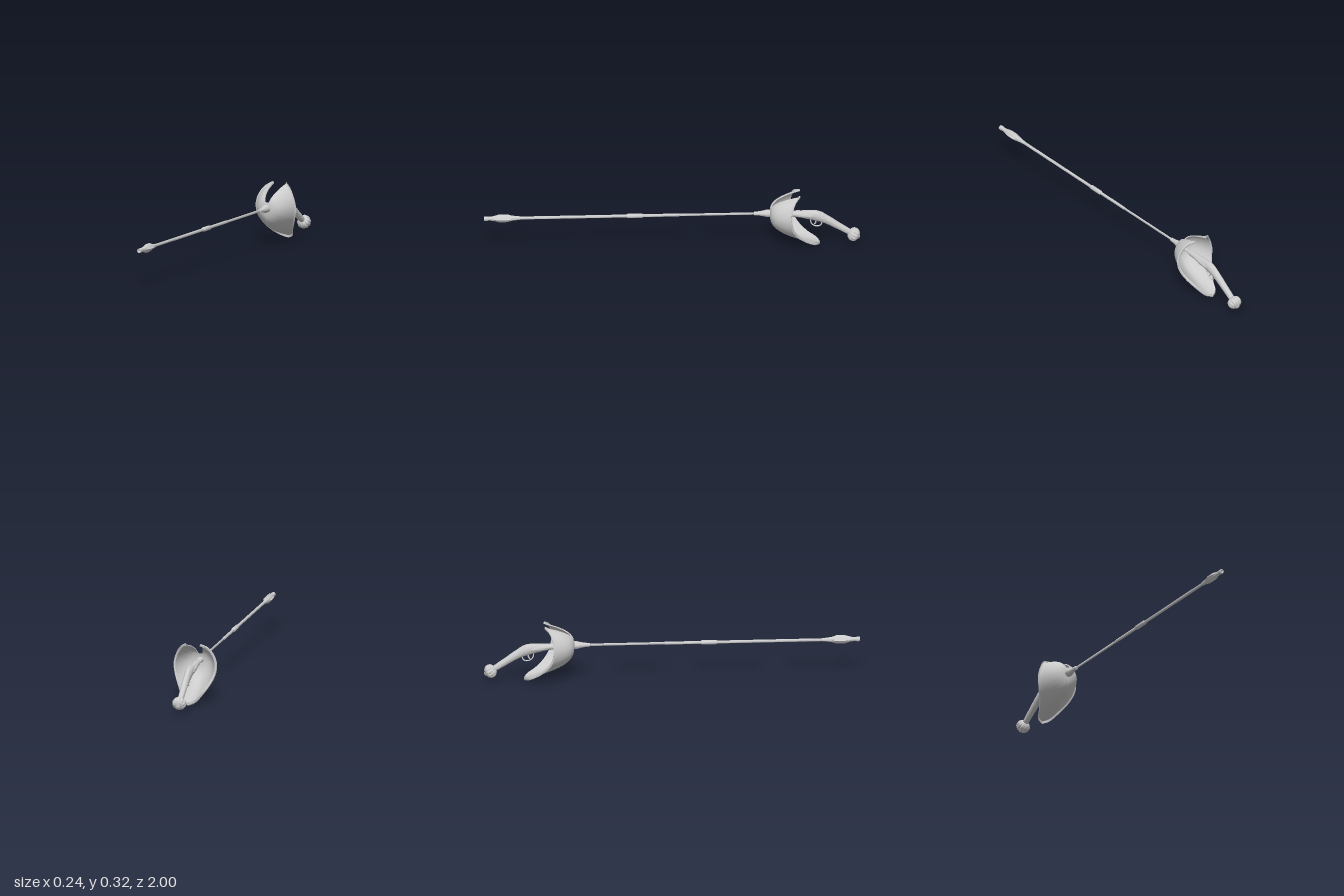
import * as THREE from 'three';
import { toCreasedNormals } from 'three/addons/utils/BufferGeometryUtils.js';

const AXIS_Y = 0.195;
const V = (x, y, z) => new THREE.Vector3(x, y, z);
const material = new THREE.MeshStandardMaterial({ color: 0xcccccc, side: THREE.DoubleSide });

function part(name, geometry, crease = 0.6) {
  const mesh = new THREE.Mesh(toCreasedNormals(geometry, crease), material);
  mesh.name = name;
  return mesh;
}

// Surface through columns of points that all have the same length.
function surface(columns) {
  const n = columns[0].length, index = [];
  for (let i = 0; i < columns.length - 1; i++) {
    for (let j = 0; j < n - 1; j++) {
      const a = i * n + j, b = a + n;
      index.push(a, b, a + 1, b, b + 1, a + 1);
    }
  }
  const geometry = new THREE.BufferGeometry().setFromPoints(columns.flat());
  geometry.setIndex(index);
  geometry.computeVertexNormals();
  return geometry;
}

// Turned part along the blade axis, profile given as [z, radius].
function turned(name, profile, sides = 20) {
  const g = new THREE.LatheGeometry(profile.map(([z, r]) => new THREE.Vector2(r, z)), sides);
  g.rotateX(Math.PI / 2);
  g.translate(0, AXIS_Y, 0);
  return part(name, g);
}

// Oval loft in the x = 0 plane, stations [z, y, halfWidth, halfHeight].
function loft(name, stations, steps, sides) {
  const path = new THREE.CatmullRomCurve3(stations.map(([z, y]) => V(0, y, z)));
  const size = new THREE.CatmullRomCurve3(stations.map(([, , w, h]) => V(w, h, 0)));
  const columns = [];
  for (let i = 0; i <= sides; i++) {
    const a = -i / sides * Math.PI * 2, column = [];
    for (let j = 0; j <= steps; j++) {
      const c = path.getPoint(j / steps), s = size.getPoint(j / steps), t = path.getTangent(j / steps);
      const h = Math.sin(a) * s.y;
      column.push(V(Math.cos(a) * s.x, c.y - t.z * h, c.z + t.y * h));
    }
    columns.push([path.getPoint(0), ...column, path.getPoint(1)]);
  }
  return part(name, surface(columns));
}

// Domed shield with a flat lip and a wedge notch at the top.
function handGuard() {
  const front = -0.52, lip = 13 / 14, notch = 0.27, N = 14;
  const edge = new THREE.CatmullRomCurve3([
    V(0.04, 0.318, -0.675), V(0.075, 0.295, -0.65), V(0.105, 0.25, -0.632),
    V(0.12, 0.195, -0.63), V(0.112, 0.14, -0.638), V(0.09, 0.09, -0.665),
    V(0.06, 0.045, -0.71), V(0.033, 0.013, -0.762), V(0, 0, -0.78),
  ]).getPoints(32);
  const mirror = (p) => V(-p.x, p.y, p.z);
  const column = (rim, reach) => {
    const outer = [], inner = [];
    for (let k = 0; k <= N; k++) {
      const t = reach * k / N;
      const z = front + (rim.z - front) * Math.min(1, (t / lip) ** 3);
      const at = (s, dz) => V(rim.x * s, AXIS_Y + (rim.y - AXIS_Y) * s, z + dz);
      outer.push(at(t, 0));
      inner.unshift(at(t * 0.97, -0.007));
    }
    return [...outer, ...inner];
  };
  const tip = edge[0], columns = [];
  const cut = Array.from({ length: 11 }, (_, i) => 1 - (1 - notch) * i / 10);
  for (const reach of [...cut].reverse()) columns.push(column(tip, reach));
  for (const p of edge.slice(1)) columns.push(column(p, 1));
  for (const p of edge.slice(0, -1).reverse()) columns.push(column(mirror(p), 1));
  for (const reach of cut.slice(1)) columns.push(column(mirror(tip), reach));
  for (let i = 1; i <= 4; i++) columns.push(column(mirror(tip).lerp(tip, i / 4), notch));
  return part('handGuard', surface(columns));
}

// Ball with rounded ribs, its axis along the end of the grip.
function pommel() {
  const g = new THREE.SphereGeometry(1, 80, 20);
  const pos = g.attributes.position;
  for (let i = 0; i < pos.count; i++) {
    const x = pos.getX(i), z = pos.getZ(i);
    const k = 0.86 + 0.14 * Math.sqrt(Math.abs(Math.sin(Math.atan2(z, x) * 5)));
    pos.setXYZ(i, x * k * 0.038, pos.getY(i) * 0.032, z * k * 0.038);
  }
  const group = new THREE.Group();
  group.name = 'pommel';
  const button = new THREE.SphereGeometry(0.012, 16, 10);
  button.scale(1, 0.6, 1);
  button.translate(0, 0.03, 0);
  group.add(part('pommelBall', g), part('pommelButton', button));
  group.quaternion.setFromUnitVectors(V(0, 1, 0), V(0, -0.5, -0.866).normalize());
  group.position.set(0, 0.058, -0.966);
  return group;
}

export function createModel() {
  const model = new THREE.Group();

  // Blade: slim rear rod, thicker front rod, middle sleeve
  const rear = turned('rearBlade', [[-0.46, 0.007], [-0.04, 0.007]], 12);
  rear.scale.x = 0.65;
  model.add(
    rear,
    turned('frontBlade', [[-0.045, 0], [-0.04, 0.008], [0.82, 0.008]], 12),
    turned('sleeve', [[0.15, 0.007], [0.16, 0.012], [0.235, 0.012], [0.245, 0.007]], 12),
  );

  // Tip: round spindle crossed by four ridges, with a hollow end
  model.add(
    turned('tipBody', [[0.79, 0.007], [0.815, 0.01], [0.85, 0.014], [0.88, 0.019], [0.915, 0.019],
      [0.95, 0.013], [0.975, 0.01], [0.985, 0.013], [1, 0.012], [1, 0.007], [0.985, 0]]),
    turned('tipRidges', [[0.835, 0.01], [0.875, 0.024], [0.92, 0.024], [0.965, 0.01]], 4),
  );

  // Collar in front of the guard
  model.add(turned('collar', [[-0.435, 0.006], [-0.437, 0.01], [-0.465, 0.012], [-0.49, 0.017],
    [-0.505, 0.021], [-0.53, 0.021]].reverse()));
  model.add(handGuard());

  // Curved grip with its swollen middle
  model.add(loft('grip', [
    [-0.52, 0.195, 0.018, 0.016], [-0.6, 0.193, 0.018, 0.016], [-0.67, 0.188, 0.019, 0.018],
    [-0.72, 0.183, 0.02, 0.025], [-0.77, 0.175, 0.02, 0.03], [-0.82, 0.152, 0.018, 0.024],
    [-0.88, 0.114, 0.017, 0.019], [-0.925, 0.085, 0.016, 0.017], [-0.96, 0.062, 0.015, 0.015],
  ], 40, 20));

  // Raised side plates where the grip meets the guard
  for (const side of [-1, 1]) {
    const plate = new THREE.SphereGeometry(1, 20, 12);
    plate.scale(0.006, 0.012, 0.06);
    plate.rotateX(-0.14);
    plate.translate(side * 0.018, 0.185, -0.7);
    model.add(part(side > 0 ? 'leftPlate' : 'rightPlate', plate));
  }

  // Trigger and its thin bow
  const tube = (name, points, r) => part(name, new THREE.TubeGeometry(
    new THREE.CatmullRomCurve3(points.map(([z, y]) => V(0, y, z))), 20, r, 8));
  model.add(
    tube('triggerBow', [[-0.735, 0.16], [-0.742, 0.128], [-0.765, 0.113], [-0.79, 0.118], [-0.8, 0.145]], 0.0035),
    tube('trigger', [[-0.76, 0.155], [-0.765, 0.138], [-0.758, 0.124]], 0.004),
  );

  model.add(pommel());
  return model;
}
